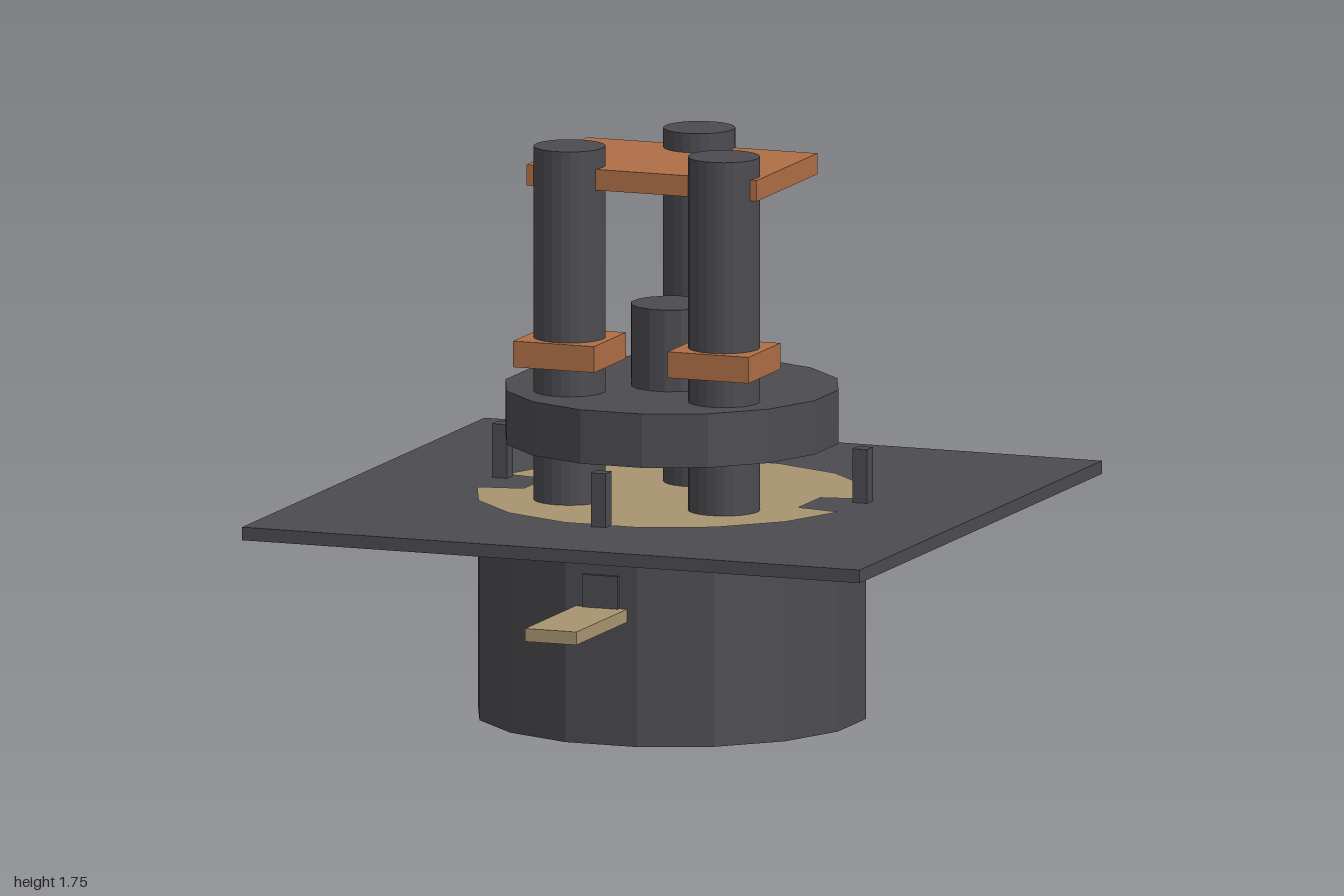
import * as THREE from 'three';

export function createModel() {
  const model = new THREE.Group();
  const material = (name, color, options = {}) => {
    const m = new THREE.MeshStandardMaterial({ color, flatShading: true, ...options });
    m.name = name;
    return m;
  };
  const dark = material('charcoal metal', 0x4c4b50, { side: THREE.DoubleSide });
  const tan = material('tan', 0xa89470);
  const copper = material('copper', 0xae6e46);

  const add = (name, geometry, mat, x, y, z) => {
    const mesh = new THREE.Mesh(geometry, mat);
    mesh.name = name;
    mesh.position.set(x, y, z);
    model.add(mesh);
    return mesh;
  };
  // Box given by its lower face height and its height
  const box = (name, mat, x, y, z, w, h, d) =>
    add(name, new THREE.BoxGeometry(w, h, d), mat, x, y + h / 2, z);
  const cylinder = (name, x, y, z, r, h, sides, open = false) => {
    const g = new THREE.CylinderGeometry(r, r, h, sides, 1, open);
    g.rotateY(Math.PI / sides); // flat side towards the front
    return add(name, g, dark, x, y + h / 2, z);
  };

  // Hollow housing, open below, under a square plate
  cylinder('housing', 0, 0, 0, 0.594, 0.63, 16, true);
  box('basePlate', dark, 0, 0.63, 0, 2, 0.04, 2);

  // Thin tan disc on the plate, notched at both sides
  const points = [];
  for (let i = 0; i < 16; i++) {
    const a = ((i + 0.5) * Math.PI) / 8;
    const p = new THREE.Vector2(Math.cos(a), Math.sin(a)).multiplyScalar(0.597);
    const inner = p.clone().multiplyScalar(0.76);
    if (i === 7 || i === 15) points.push(p, inner);
    else if (i === 8 || i === 0) points.push(inner, p);
    else points.push(p);
  }
  const disc = new THREE.ShapeGeometry(new THREE.Shape(points));
  disc.rotateX(-Math.PI / 2);
  add('tanDisc', disc, tan, 0, 0.673, 0);

  // Four upright clips around the disc
  for (const [x, z] of [[0, 0.585], [0, -0.585], [0.583, -0.087], [-0.583, -0.087]]) {
    box('clip', dark, x, 0.67, z, 0.048, 0.165, 0.048);
  }

  // Raised round platform with central hub
  cylinder('platform', 0, 0.84, 0, 0.51, 0.165, 16);
  cylinder('hub', 0, 1.0, 0, 0.125, 0.255, 16);

  // Three posts, each with a square collar
  for (const [x, z] of [[-0.25, 0.208], [0.25, 0.208], [0, -0.225]]) {
    cylinder('post', x, 0.67, z, 0.109, 1.085, 24);
    box('collar', copper, x, 1.09, z, 0.262, 0.08, 0.262);
  }
  box('topPlate', copper, 0, 1.632, 0, 0.745, 0.064, 0.5);

  // Front lever with a small block above it, both passing through the wall
  box('lever', tan, 0, 0.38, 0.77, 0.166, 0.04, 0.46);
  box('leverBlock', dark, 0, 0.42, 0.57, 0.115, 0.1, 0.05);

  return model;
}
